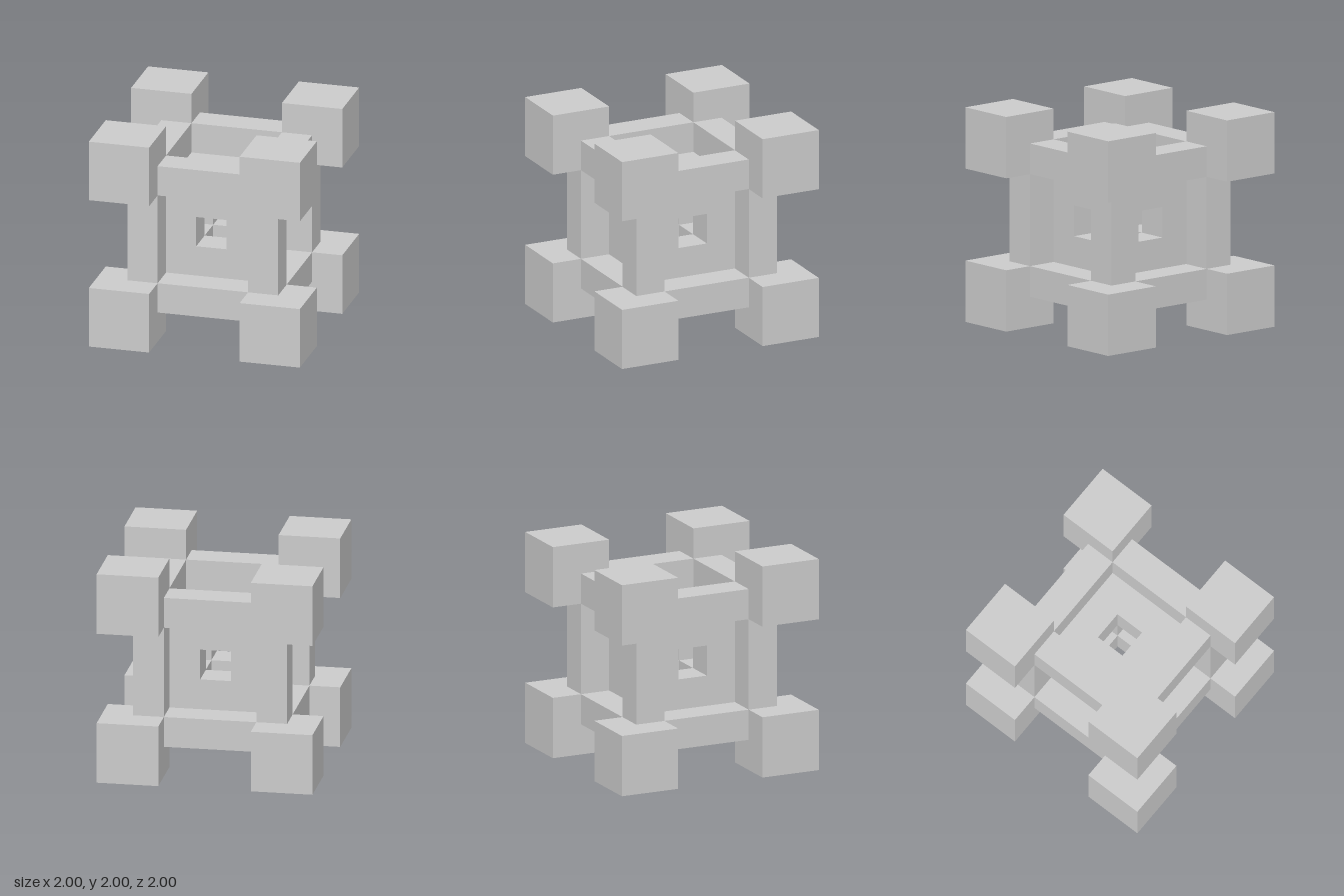
import * as THREE from 'three';
import { mergeGeometries } from 'three/addons/utils/BufferGeometryUtils.js';

const U = 1 / 7; // grid unit: the model is 14 units wide
const material = new THREE.MeshStandardMaterial({ color: 0xcccccc, flatShading: true });

function squarePath(path, h) {
  path.moveTo(-h, -h);
  path.lineTo(h, -h);
  path.lineTo(h, h);
  path.lineTo(-h, h);
  path.closePath();
  return path;
}

// One face of the core: a square with a hole, plus the four walls of its tunnel
function coreSide() {
  const shape = squarePath(new THREE.Shape(), 3 * U);
  shape.holes.push(squarePath(new THREE.Path(), U));
  const parts = [new THREE.ShapeGeometry(shape).translate(0, 0, 3 * U)];
  for (let i = 0; i < 4; i++) {
    parts.push(new THREE.PlaneGeometry(2 * U, 2 * U)
      .rotateY(Math.PI / 2)
      .translate(-U, 0, 2 * U)
      .rotateZ(i * Math.PI / 2));
  }
  return mergeGeometries(parts);
}

export function createModel() {
  const model = new THREE.Group();
  model.name = 'cubeLattice';

  const add = (parent, name, geometry, position = [0, 0, 0]) => {
    const mesh = new THREE.Mesh(geometry, material);
    mesh.name = name;
    mesh.position.set(...position);
    parent.add(mesh);
  };
  const group = (name) => {
    const g = new THREE.Group();
    g.name = name;
    g.position.y = 1;
    model.add(g);
    return g;
  };

  // Central cube pierced by three crossing square tunnels
  const side = coreSide();
  const sides = [];
  for (let i = 0; i < 4; i++) sides.push(side.clone().rotateY(i * Math.PI / 2));
  for (const s of [-1, 1]) sides.push(side.clone().rotateX(s * Math.PI / 2));
  add(group('core'), 'piercedCube', mergeGeometries(sides));

  // Eight large corner cubes
  const corners = group('cornerCubes');
  const cube = new THREE.BoxGeometry(4 * U, 4 * U, 4 * U);
  for (const x of [-1, 1]) for (const y of [-1, 1]) for (const z of [-1, 1]) {
    add(corners, 'cornerCube', cube, [x, y, z].map((s) => s * 5 * U));
  }

  // Twelve edge bars linking neighbouring corner cubes
  const bars = group('edgeBars');
  for (let axis = 0; axis < 3; axis++) {
    const size = [2 * U, 2 * U, 2 * U];
    size[axis] = 6 * U;
    const bar = new THREE.BoxGeometry(...size);
    for (const a of [-1, 1]) for (const b of [-1, 1]) {
      const position = [0, 0, 0];
      position[(axis + 1) % 3] = a * 4 * U;
      position[(axis + 2) % 3] = b * 4 * U;
      add(bars, 'edgeBar', bar, position);
    }
  }
  return model;
}
